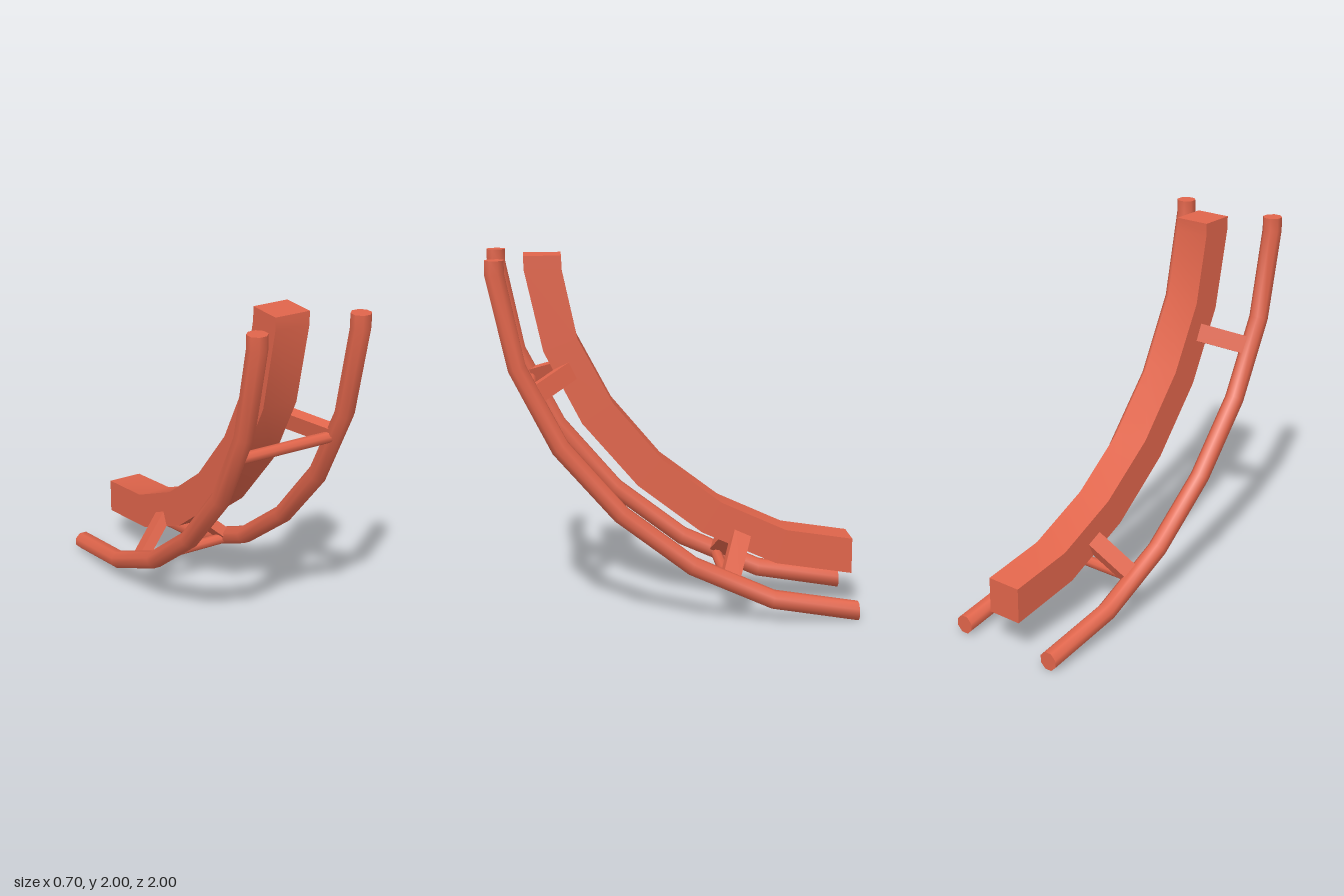
import * as THREE from 'three';
import { toCreasedNormals } from 'three/addons/utils/BufferGeometryUtils.js';

// Mitred sections along each curve: [outer z, outer y, inner z, inner y]
const RAIL = [
  [1, 2, 0.9, 2], [1, 1.92, 0.9, 1.93], [0.89, 1.42, 0.8, 1.45], [0.665, 0.975, 0.585, 1.035],
  [0.34, 0.6, 0.27, 0.665], [-0.06, 0.29, -0.105, 0.375], [-0.515, 0.083, -0.535, 0.178], [-1, 0, -1, 0.1],
];
const BEAM = [
  [0.8, 2, 0.6, 2], [0.8, 1.93, 0.6, 1.93], [0.703, 1.487, 0.52, 1.555], [0.5, 1.09, 0.333, 1.2],
  [0.2, 0.737, 0.065, 0.88], [-0.155, 0.462, -0.262, 0.63], [-0.57, 0.273, -0.625, 0.463], [-1, 0.203, -1, 0.403],
];

// Sweep a profile of [x, t] points (t = 0 outer, 1 inner) through the sections
function sweep(sections, profile) {
  const rings = sections.map(([zo, yo, zi, yi]) =>
    profile.map(([x, t]) => [x, yo + (yi - yo) * t, zo + (zi - zo) * t]));
  const n = profile.length, last = rings.length - 1, pos = [];
  const tri = (a, b, c) => pos.push(...a, ...b, ...c);
  for (let i = 0; i < last; i++) {
    for (let j = 0; j < n; j++) {
      const k = (j + 1) % n;
      const a = rings[i][j], b = rings[i][k], c = rings[i + 1][k], d = rings[i + 1][j];
      tri(a, d, c);
      tri(a, c, b);
    }
  }
  for (let j = 1; j < n - 1; j++) {
    tri(rings[0][0], rings[0][j], rings[0][j + 1]);
    tri(rings[last][0], rings[last][j + 1], rings[last][j]);
  }
  const geo = new THREE.BufferGeometry();
  geo.setAttribute('position', new THREE.Float32BufferAttribute(pos, 3));
  return toCreasedNormals(geo, Math.PI / 3);
}

export function createModel() {
  const model = new THREE.Group();
  model.name = 'curvedTrack';
  const paint = new THREE.MeshStandardMaterial({ color: 0xe0654b });
  paint.name = 'coral red';
  const add = (parent, name, geo) => {
    const mesh = new THREE.Mesh(geo, paint);
    mesh.name = name;
    parent.add(mesh);
    return mesh;
  };

  // Square central beam
  add(model, 'centreBeam', sweep(BEAM, [[-0.1, 0], [0.1, 0], [0.1, 1], [-0.1, 1]]));

  // Octagonal rails, flats facing the axes
  const octagon = Array.from({ length: 8 }, (_, i) => {
    const a = (i + 0.5) * Math.PI / 4, r = 0.5 / Math.cos(Math.PI / 8);
    return [Math.cos(a) * r * 0.1, 0.5 + Math.sin(a) * r];
  });
  for (const s of [1, -1]) {
    add(model, s > 0 ? 'leftRail' : 'rightRail', sweep(RAIL, octagon.map(([x, t]) => [x + s * 0.3, t])));
  }

  // Cross ties: a round bar between the rails and two struts up to the beam
  for (const [name, y, z, tilt] of [['upperTie', 1.28, 0.77, -1.14], ['lowerTie', 0.23, -0.28, -0.43]]) {
    const tie = new THREE.Group();
    tie.name = name;
    tie.position.set(0, y, z);
    tie.rotation.x = tilt;
    model.add(tie);
    add(tie, 'crossBar', new THREE.CylinderGeometry(0.031, 0.031, 0.58, 8)).rotation.z = Math.PI / 2;
    for (const s of [1, -1]) {
      const strut = add(tie, s > 0 ? 'leftStrut' : 'rightStrut', new THREE.BoxGeometry(0.354, 0.06, 0.1));
      strut.position.set(s * 0.178, 0.125, 0);
      strut.rotation.z = -s * Math.PI / 4;
    }
  }
  return model;
}
